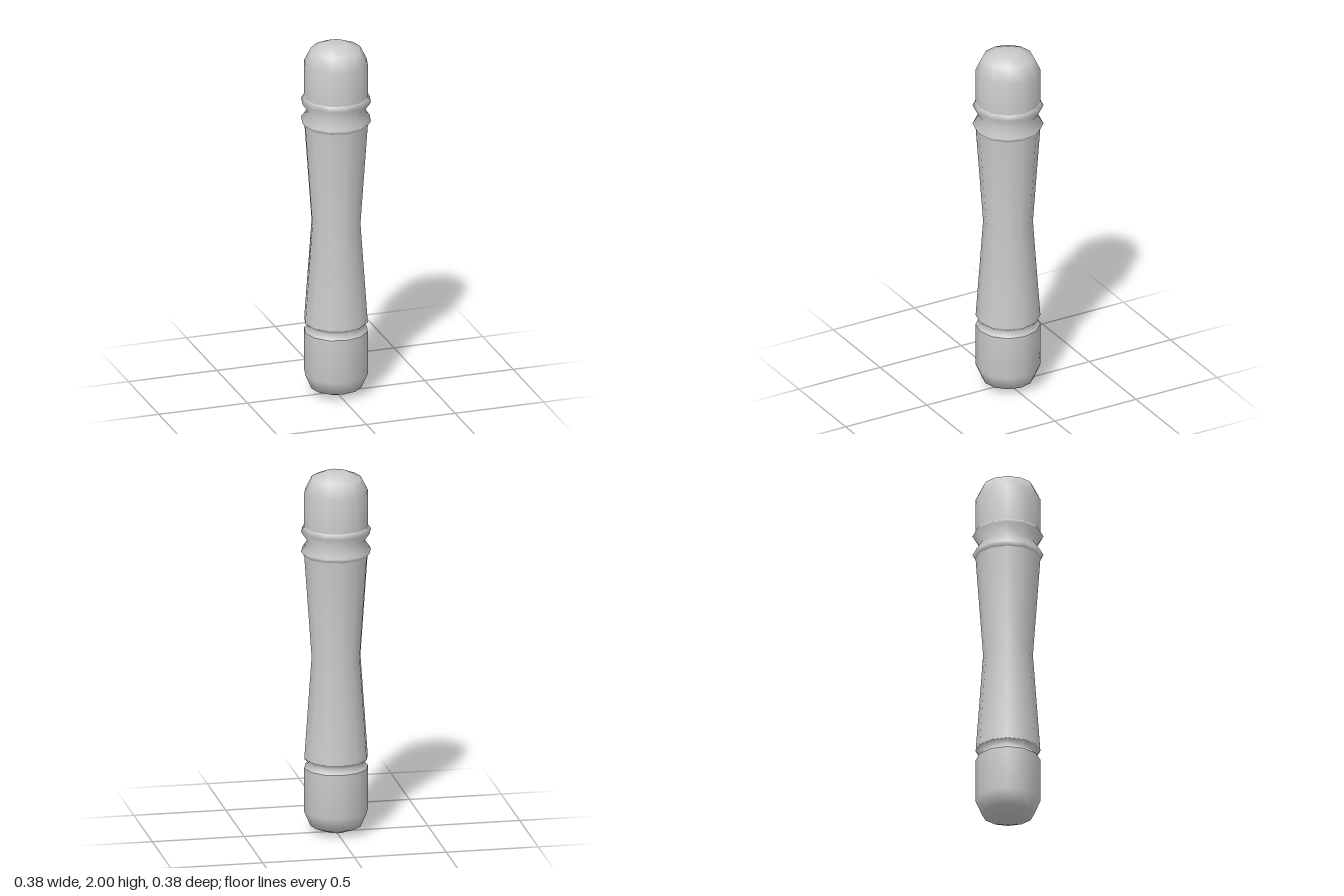
import * as THREE from 'three';

const SIDES = 12;

export function createModel() {
  const group = new THREE.Group();
  group.name = 'turnedHandle';
  const material = new THREE.MeshStandardMaterial({ color: 0xcccccc });

  // Each part is a twelve-sided turning; profiles are [radius, height], bottom to top.
  const parts = {
    lowerCap: [[0, 0], [0.055, 0.004], [0.138, 0.037], [0.173, 0.117], [0.173, 0.36]],
    lowerGroove: [[0.173, 0.36], [0.147, 0.387], [0.173, 0.413]],
    shaft: [[0.173, 0.413], [0.133, 0.978], [0.173, 1.543]],
    collarRings: [[0.173, 1.543], [0.19, 1.567], [0.153, 1.622], [0.19, 1.677], [0.173, 1.703]],
    upperCap: [[0.173, 1.703], [0.173, 1.894], [0.135, 1.97], [0.065, 2], [0, 2]],
  };

  for (const [name, profile] of Object.entries(parts)) {
    const points = profile.map(([r, y]) => new THREE.Vector2(r, y));
    const mesh = new THREE.Mesh(new THREE.LatheGeometry(points, SIDES), material);
    mesh.name = name;
    group.add(mesh);
  }
  return group;
}
